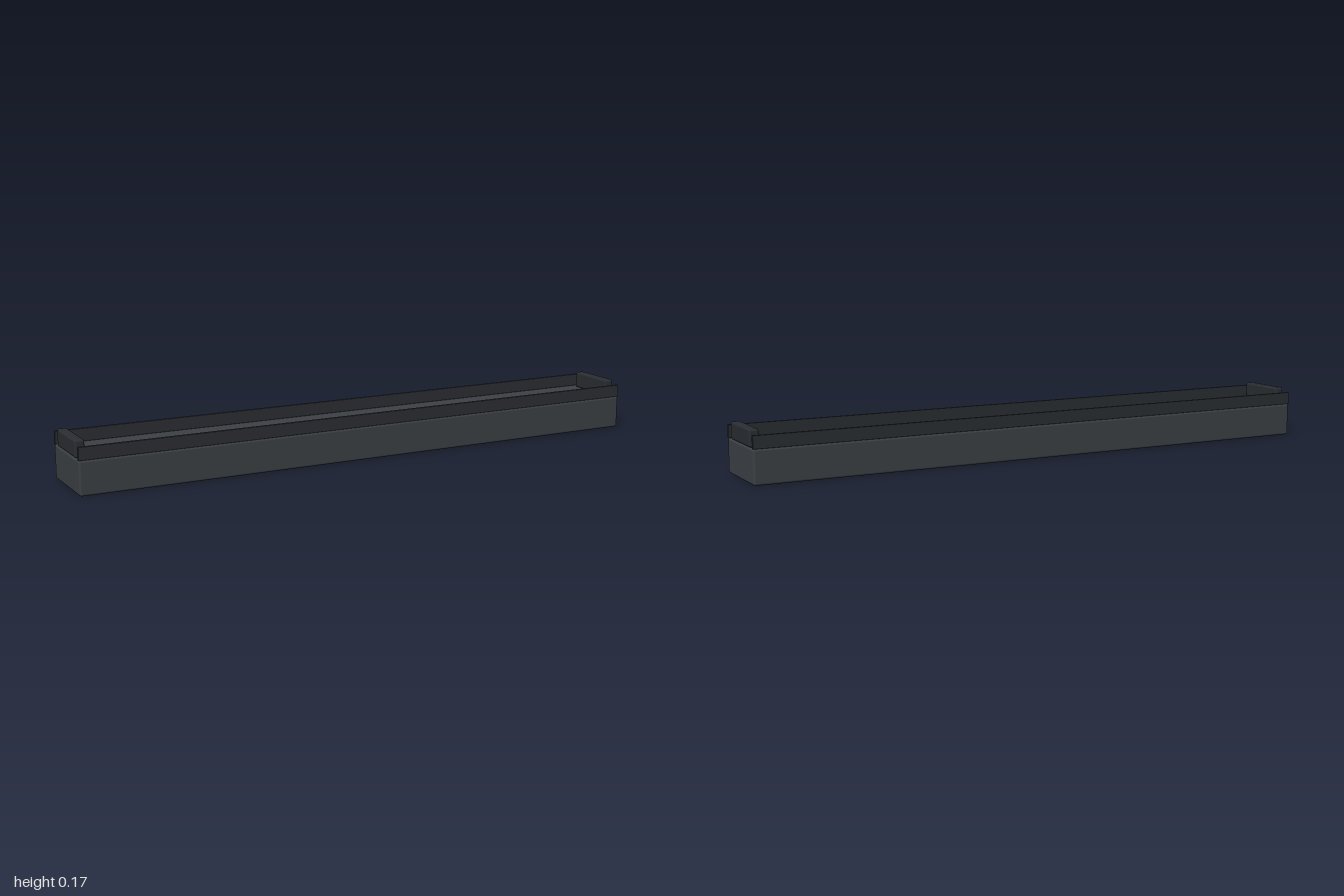
import * as THREE from 'three';
import { RoundedBoxGeometry } from 'three/addons/geometries/RoundedBoxGeometry.js';

export function createModel() {
  const model = new THREE.Group();
  const bodyMaterial = new THREE.MeshStandardMaterial({ color: 0x3c4044 });
  const trimMaterial = new THREE.MeshStandardMaterial({ color: 0x2a2d32 });

  // Rounded block standing on height y
  function block(name, [w, h, d], [x, y, z], radius, material) {
    const mesh = new THREE.Mesh(new RoundedBoxGeometry(w, h, d, 3, radius), material);
    mesh.name = name;
    mesh.position.set(x, y + h / 2, z);
    model.add(mesh);
  }

  const top = 0.111;
  block('body', [2, top, 0.248], [0, 0, 0], 0.007, bodyMaterial);

  // Thin rails along both long edges, raised caps at both ends
  for (const s of [1, -1]) {
    block(s > 0 ? 'frontRail' : 'backRail', [2, 0.042, 0.01], [0, top, s * 0.119], 0.0015, trimMaterial);
    block(s > 0 ? 'leftEndCap' : 'rightEndCap', [0.032, 0.056, 0.18], [s * 0.984, top, 0], 0.007, trimMaterial);
  }
  return model;
}
